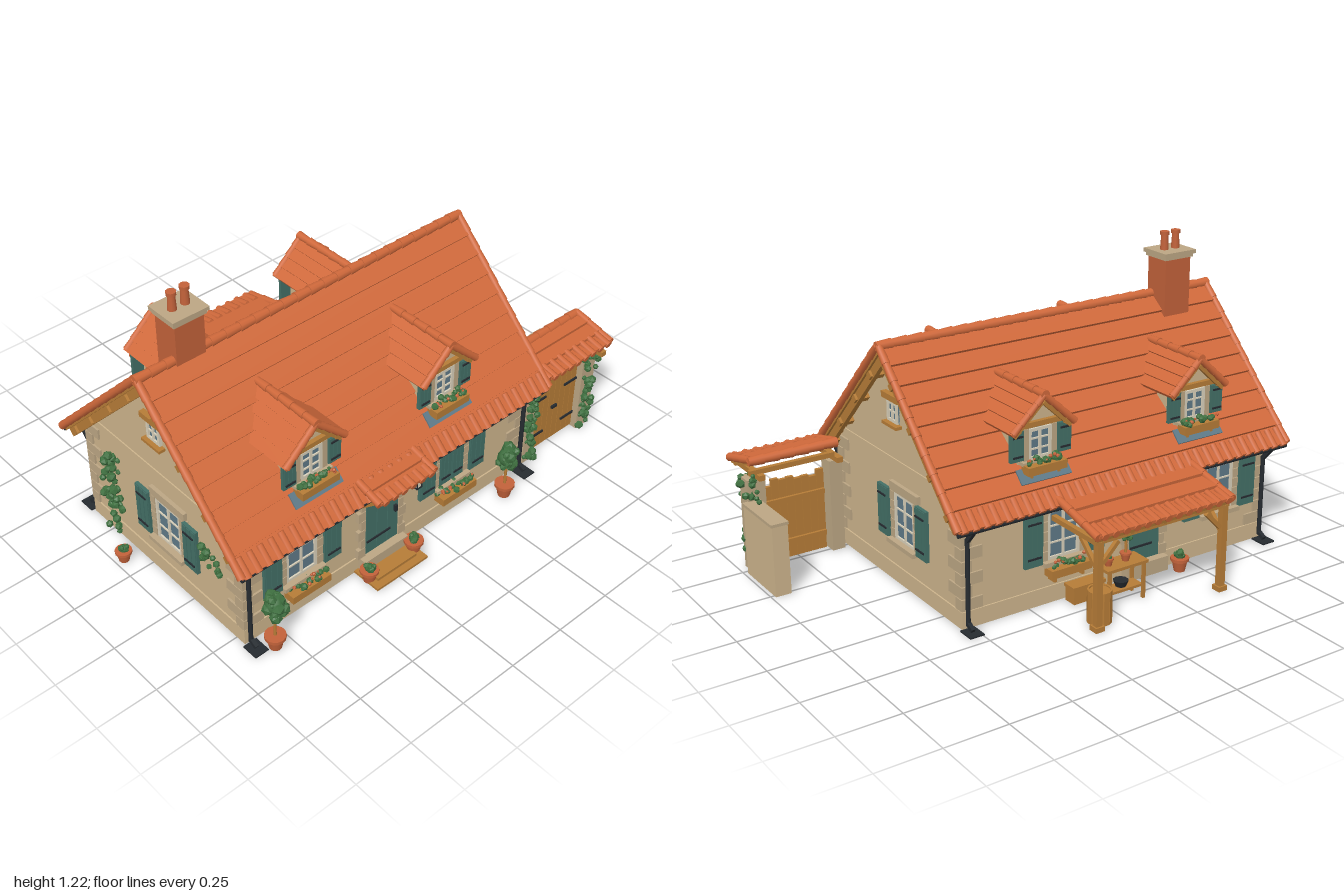
import * as THREE from 'three';
import { mergeGeometries } from 'three/addons/utils/BufferGeometryUtils.js';

const mat = (name, color) => { const m = new THREE.MeshStandardMaterial({ color }); m.name = name; return m; };
const TILE = mat('roof tile', 0xd0693b), CLAY = mat('brick and clay', 0xc2623a), WALL = mat('plaster', 0xcdb48c),
  STONE = mat('stone', 0xbca684), WOOD = mat('timber', 0xb67c37), TEAL = mat('teal paint', 0x436f66),
  IRON = mat('iron', 0x262b30), LEAF = mat('leaf', 0x3f7040), GLASS = mat('glass', 0x5f7a88), TRIM = mat('window trim', 0xd9d0ba);

let seed = 7;
const rnd = () => (seed = (seed * 16807) % 2147483647) / 2147483647;

// Geometry helpers: every shape is placed and un-indexed so a part can be merged.
function put(g, x, y, z, rx = 0, ry = 0, rz = 0) {
  if (g.index) g = g.toNonIndexed();
  return g.applyMatrix4(new THREE.Matrix4().compose(new THREE.Vector3(x, y, z),
    new THREE.Quaternion().setFromEuler(new THREE.Euler(rx, ry, rz)), new THREE.Vector3(1, 1, 1)));
}
const box = (w, h, d, x, y, z, rx, ry, rz) => put(new THREE.BoxGeometry(w, h, d), x, y, z, rx, ry, rz);
const cyl = (r1, r2, h, x, y, z, rx, ry, rz, n = 10) => put(new THREE.CylinderGeometry(r1, r2, h, n), x, y, z, rx, ry, rz);
const prism = (pts, depth) => new THREE.ExtrudeGeometry(new THREE.Shape(pts.map(p => new THREE.Vector2(...p))), { depth, bevelEnabled: false });
// Square bar between two points in the y-z plane.
const strut = (w, x, y1, z1, y2, z2) => box(w, w, Math.hypot(y2 - y1, z2 - z1), x, (y1 + y2) / 2, (z1 + z2) / 2, -Math.atan2(y2 - y1, z2 - z1));
function part(parent, name, material, ...geos) {
  const m = new THREE.Mesh(mergeGeometries(geos.flat()), material);
  m.name = name; parent.add(m); return m;
}
function group(parent, name, x = 0, y = 0, z = 0, ry = 0, rx = 0) {
  const g = new THREE.Group(); g.name = name; g.position.set(x, y, z);
  g.rotation.set(rx, ry, 0, 'YXZ'); parent.add(g); return g;
}
function leaves(n, size, x, y, z, rx, ry, rz) {
  return Array.from({ length: n }, () => put(new THREE.IcosahedronGeometry(size * (0.7 + 0.6 * rnd()), 0),
    x + (rnd() * 2 - 1) * rx, y + (rnd() * 2 - 1) * ry, z + (rnd() * 2 - 1) * rz, rnd() * 3, rnd() * 3));
}

// Tiled roof slope: overlapping courses, round eave tiles and verge tiles.
function slope(parent, name, x, y, z, ry, len, run, drop, n) {
  const L = Math.hypot(run, drop), g = group(parent, name, x, y, z, ry, Math.atan2(drop, run)), c = L / n, tiles = [];
  for (let i = 0; i < n; i++) tiles.push(box(len, 0.012, c + 0.012, 0, 0.004, (i + 0.5) * c, -0.012 / c));
  const teeth = Math.round(len / 0.046), lip = Math.min(0.08, L * 0.4), m = Math.round(L / 0.075);
  for (let i = 0; i < teeth; i++) tiles.push(cyl(0.015, 0.013, lip, (i + 0.5) * len / teeth - len / 2, 0.008, L - lip / 2 + 0.01, Math.PI / 2, 0, 0, 8));
  for (const s of [-1, 1]) for (let i = 0; i < m; i++)
    tiles.push(cyl(0.017, 0.014, L / m, s * len / 2, 0.006, (i + 0.5) * L / m, Math.PI / 2));
  part(g, name + 'Tiles', TILE, tiles);
  part(g, name + 'Deck', WOOD, box(len, 0.012, L - 0.01, 0, -0.012, L / 2));
  return g;
}
function ridge(parent, name, len, x, y, z, alongZ) {
  const n = Math.round(len / 0.065);
  part(parent, name, TILE, Array.from({ length: n }, (_, i) => {
    const t = (i + 0.5) * len / n - len / 2;
    return alongZ ? cyl(0.018, 0.014, len / n, x, y, z + t, Math.PI / 2) : cyl(0.021, 0.017, len / n, x + t, y, z, 0, 0, Math.PI / 2);
  }));
}

function shutter(parent, x, y, w, h, z = 0.012) {
  part(parent, 'shutter', TEAL, box(w, h, 0.014, x, y, z), [-1, 0, 1].map(i => box(w * 0.26, h * 0.96, 0.006, x + i * w * 0.32, y, z + 0.007)));
  part(parent, 'shutterHinges', IRON, [-1, 1].map(s => box(w * 0.75, 0.007, 0.006, x, y + s * h * 0.33, z + 0.011)));
}
function flowerBox(parent, x, y, w, z) {
  part(parent, 'flowerBox', WOOD, box(w, 0.032, 0.05, x, y, z), [-1, 1].map(s => box(0.012, 0.03, 0.04, x + s * w * 0.35, y - 0.025, z - 0.012)));
  part(parent, 'boxPlants', LEAF, leaves(16, 0.012, x, y + 0.026, z, w * 0.47, 0.01, 0.02));
  part(parent, 'boxFlowers', CLAY, leaves(7, 0.007, x, y + 0.038, z + 0.01, w * 0.45, 0.006, 0.015));
}
// Window in a wall face: x along the wall, z outwards, y is the sill height.
function windowUnit(parent, x, y, w, h, opt = {}) {
  const g = group(parent, 'window', x, y, 0), { sw = 0.08, surround = true, closed, rows = 3 } = opt;
  part(g, 'glass', GLASS, box(w, h, 0.04, 0, h / 2, -0.014));
  part(g, 'windowFrame', TRIM, [-1, 1].map(s => box(0.012, h, 0.014, s * (w / 2 - 0.006), h / 2, 0.006)),
    [0, 1].map(s => box(w, 0.012, 0.0135, 0, 0.006 + s * (h - 0.012), 0.006)), box(0.01, h, 0.012, 0, h / 2, 0.006),
    Array.from({ length: rows - 1 }, (_, i) => box(w, 0.006, 0.011, 0, h * (i + 1) / rows, 0.006)));
  if (surround) {
    const q = [];
    for (const s of [-1, 1]) for (let i = 0; i < 5; i++) {
      const b = i % 2 ? 0.026 : 0.036;
      q.push(box(b, h / 5 - 0.003, 0.022, s * (w / 2 + b / 2), (i + 0.5) * h / 5, 0.005));
    }
    part(g, 'stoneSurround', STONE, q, box(w + 0.06, 0.035, 0.024, 0, h + 0.018, 0.004), box(w + 0.05, 0.018, 0.05, 0, -0.008, 0.012));
  }
  if (closed) [-1, 1].forEach(s => shutter(g, s * w / 4, h / 2, w / 2 - 0.003, h, 0.01));
  if (sw) [-1, 1].forEach(s => shutter(g, s * (w / 2 + 0.028 + sw / 2), h / 2, sw, h + 0.01, 0.018));
  return g;
}
function door(parent, x, w, h) {
  const g = group(parent, 'door', x, 0.065, 0), q = [];
  part(g, 'doorLeaf', TEAL, box(w, h, 0.045, 0, h / 2, -0.012), [-1, 0, 1].map(i => box(w * 0.29, h * 0.95, 0.005, i * w * 0.32, h / 2, 0.012)));
  part(g, 'doorIron', IRON, [0.2, 0.8].map(t => box(w * 0.7, 0.008, 0.006, -w * 0.1, h * t, 0.016)), box(0.012, 0.03, 0.014, w * 0.38, h * 0.48, 0.018));
  for (const s of [-1, 1]) for (let i = 0; i < 7; i++) {
    const b = i % 2 ? 0.022 : 0.036;
    q.push(box(b, h / 7 - 0.003, 0.024, s * (w / 2 + b / 2), (i + 0.5) * h / 7, 0.005));
  }
  part(g, 'doorSurround', STONE, q, box(w + 0.06, 0.035, 0.026, 0, h + 0.017, 0.005), box(w + 0.05, 0.06, 0.05, 0, -0.03, 0.02));
}
function pot(parent, x, y, z, s = 1, tree = 0) {
  const g = group(parent, 'pottedPlant', x, y, z);
  part(g, 'pot', CLAY, cyl(0.032 * s, 0.022 * s, 0.048 * s, 0, 0.024 * s, 0, 0, 0, 0, 14), cyl(0.037 * s, 0.037 * s, 0.012 * s, 0, 0.05 * s, 0, 0, 0, 0, 14));
  if (tree) part(g, 'trunk', WOOD, cyl(0.005, 0.006, tree, 0, tree / 2 + 0.02, 0));
  const r = tree ? 0.034 * s : 0.018 * s, y0 = tree || 0.064 * s;
  part(g, 'foliage', LEAF, leaves(tree ? 22 : 10, tree ? 0.02 * s : 0.013 * s, 0, y0, 0, r * 0.75, r, r * 0.75), put(new THREE.IcosahedronGeometry(r, 1), 0, y0, 0));
}
function lantern(parent, x, y, z) {
  part(parent, 'lantern', IRON, cyl(0.006, 0.024, 0.02, x, y + 0.035, z, 0, 0.8, 0, 4), cyl(0.02, 0.015, 0.008, x, y - 0.03, z, 0, 0.8, 0, 4),
    [-1, 1].flatMap(a => [-1, 1].map(b => box(0.004, 0.06, 0.004, x + a * 0.012, y, z + b * 0.012))), box(0.006, 0.006, 0.06, x, y + 0.05, z - 0.02));
  part(parent, 'lanternGlass', TRIM, box(0.02, 0.05, 0.02, x, y, z));
}

// Dormer: local z points out of the slope, measured from the main ridge.
function dormer(parent, x, ry) {
  const g = group(parent, 'dormer', x, 0, 0.083, ry), a = Math.atan2(0.125, 0.135), S = 0.184;
  part(g, 'dormerWalls', WALL, put(prism([[0.41, 0.51], [0.41, 0.715], [0.22, 0.715]], 0.18), 0.09, 0, 0, 0, -Math.PI / 2),
    put(prism([[-0.115, 0.7], [0.115, 0.7], [0, 0.805]], 0.21), 0, 0, 0.2));
  const tiles = [], boards = [];
  for (const s of [-1, 1]) {
    for (let i = 0; i < 4; i++) {
      const v = (i + 0.5) * S / 4, back = 0.13 + v * 0.65;
      tiles.push(box(S / 4 + 0.01, 0.014, 0.455 - back, s * v * Math.cos(a), 0.822 - v * Math.sin(a), (0.455 + back) / 2, 0, 0, -s * (a - 0.14)));
      tiles.push(cyl(0.012, 0.015, S / 4, s * v * Math.cos(a), 0.824 - v * Math.sin(a), 0.448, 0, 0, s * (Math.PI / 2 - a)));
    }
    boards.push(box(S - 0.02, 0.022, 0.018, s * 0.066, 0.74, 0.434, 0, 0, -s * a), box(0.018, 0.018, 0.05, s * 0.105, 0.703, 0.42));
  }
  part(g, 'dormerTiles', TILE, tiles);
  part(g, 'dormerTimber', WOOD, boards, box(0.2, 0.02, 0.025, 0, 0.71, 0.415));
  ridge(g, 'dormerRidge', 0.32, 0, 0.826, 0.298, true);
  part(g, 'leadApron', GLASS, box(0.22, 0.006, 0.06, 0, 0.528, 0.448, 0.8));
  const f = group(g, 'dormerFront', 0, 0, 0.412);
  const w = windowUnit(f, 0, 0.575, 0.1, 0.12, { sw: 0, surround: false });
  part(w, 'dormerSurround', STONE, [-1, 1].map(s => box(0.022, 0.125, 0.02, s * 0.062, 0.06, 0.004)), box(0.17, 0.014, 0.04, 0, -0.006, 0.01));
  [-1, 1].forEach(s => shutter(f, s * 0.104, 0.64, 0.058, 0.115, 0.012));
  flowerBox(f, 0, 0.552, 0.17, 0.04);
}

export function createModel() {
  const root = new THREE.Group(); root.name = 'cottage';
  const CX = -0.175, CZ = 0.083, HW = 0.71, HD = 0.457;

  // Shell: open underneath, with plinth, gable bands and corner stones
  const shell = group(root, 'shell');
  const gable = [[-HD, 0], [HD, 0], [HD, 0.45], [0, 0.925], [-HD, 0.45]];
  part(shell, 'walls', WALL, [-1, 1].map(s => box(HW * 2, 0.45, 0.03, CX, 0.225, CZ + s * (HD - 0.015))),
    [0.535, -0.855].map(x => put(prism(gable, 0.03), x - 0.03, 0, CZ, 0, Math.PI / 2)),
    [-1, 1].map(s => box(HW * 2 + 0.012, 0.068, 0.012, CX, 0.034, CZ + s * HD)),
    [-1, 1].flatMap(s => [box(0.012, 0.068, HD * 2, CX + s * HW, 0.034, CZ), box(0.01, 0.034, 0.82, CX + s * HW, 0.493, CZ)]));
  const quoins = [];
  for (const sx of [-1, 1]) for (const sz of [-1, 1]) for (let i = 0; i < 8; i++) {
    const a = i % 2 ? 0.045 : 0.09, b = i % 2 ? 0.09 : 0.045;
    quoins.push(box(a, 0.046, b, CX + sx * (HW + 0.008 - a / 2), 0.095 + i * 0.05, CZ + sz * (HD + 0.008 - b / 2)));
  }
  part(shell, 'cornerStones', STONE, quoins);

  // Main roof
  for (const s of [0, 1]) {
    const r = slope(root, s ? 'backRoof' : 'frontRoof', CX, 0.96, CZ, s * Math.PI, 1.54, 0.53, 0.54, 9);
    part(r, 'bargeBoards', WOOD, [-1, 1].map(k => box(0.02, 0.036, 0.73, k * 0.75, -0.034, 0.375)));
    part(r, 'purlinEnds', WOOD, [-1, 1].flatMap(k => [0.15, 0.33, 0.52, 0.68].map(z => box(0.07, 0.026, 0.026, k * 0.735, -0.035, z))));
    [[-0.536, 0.115], [-0.55, 0.175]][s].forEach(x => dormer(root, x, s * Math.PI));
  }
  ridge(root, 'mainRidge', 1.56, CX, 0.963, CZ);

  // Chimney
  const ch = group(root, 'chimney', -0.725, 0, 0.05);
  part(ch, 'chimneyStack', CLAY, box(0.125, 0.27, 0.11, 0, 0.99, 0));
  part(ch, 'chimneyCap', STONE, box(0.14, 0.014, 0.125, 0, 1.122, 0), box(0.155, 0.016, 0.14, 0, 1.137, 0));
  part(ch, 'chimneyPots', CLAY, [-0.028, 0.028].flatMap(x => [cyl(0.014, 0.018, 0.07, x, 1.175, 0), cyl(0.019, 0.019, 0.014, x, 1.212, 0)]));

  // Gutters and downpipes
  part(root, 'gutters', IRON, [0.612, -0.446].map(z => cyl(0.01, 0.01, 1.54, CX, 0.412, z, 0, 0, Math.PI / 2)),
    [-0.875, 0.525].flatMap(x => [-1, 1].flatMap(s => [cyl(0.009, 0.009, 0.34, x, 0.19, CZ + s * 0.478),
      strut(0.016, x, 0.355, CZ + s * 0.478, 0.41, CZ + s * 0.525), strut(0.016, x, 0.03, CZ + s * 0.478, 0.012, CZ + s * 0.51),
      box(0.06, 0.006, 0.07, x, 0.003, CZ + s * 0.505)])));

  // Wall faces with windows and doors
  const front = group(root, 'frontFace', 0, 0, 0.54), back = group(root, 'backFace', 0, 0, -0.374, Math.PI);
  windowUnit(front, -0.625, 0.18, 0.145, 0.205); flowerBox(front, -0.625, 0.145, 0.18, 0.045);
  windowUnit(front, 0.13, 0.18, 0.13, 0.205, { closed: true }); flowerBox(front, 0.13, 0.145, 0.18, 0.045);
  door(front, -0.232, 0.17, 0.325);
  part(front, 'doorSteps', WOOD, box(0.2, 0.022, 0.09, -0.232, 0.011, 0.06), box(0.26, 0.01, 0.13, -0.232, 0.005, 0.07));
  lantern(front, -0.095, 0.335, 0.055);
  windowUnit(back, 0.65, 0.18, 0.145, 0.2); windowUnit(back, -0.1, 0.18, 0.145, 0.2);
  flowerBox(back, -0.1, 0.145, 0.18, 0.045);
  door(back, 0.28, 0.15, 0.31); lantern(back, 0.14, 0.335, 0.045);
  [[0.535, 1, 0.07], [-0.885, -1, 0.05]].forEach(([x, s, wx]) => {
    const f = group(root, 'gableFace', x, 0, CZ, s * Math.PI / 2);
    windowUnit(f, wx, 0.19, 0.145, 0.193, { sw: 0.078 });
    windowUnit(f, 0, 0.66, 0.075, 0.082, { sw: 0, surround: false, rows: 2 });
    part(f, 'atticTimber', WOOD, box(0.118, 0.024, 0.03, 0, 0.758, 0.008), box(0.105, 0.012, 0.035, 0, 0.65, 0.01));
  });

  // Door canopy
  slope(root, 'doorCanopy', -0.232, 0.474, 0.555, 0, 0.27, 0.125, 0.035, 2);
  part(root, 'canopyBrackets', WOOD, [-0.345, -0.12].flatMap(x => [strut(0.016, x, 0.42, 0.54, 0.42, 0.66), strut(0.014, x, 0.33, 0.55, 0.415, 0.64)]), box(0.25, 0.016, 0.016, -0.232, 0.428, 0.655));

  // Gate with piers, low wall and small roof
  const gate = group(root, 'gateway');
  part(gate, 'gatePiers', STONE, box(0.055, 0.385, 0.07, 0.588, 0.192, 0.515), box(0.075, 0.385, 0.07, 0.928, 0.192, 0.515));
  part(gate, 'lowWall', WALL, box(0.065, 0.285, 0.25, 0.952, 0.142, 0.36));
  part(gate, 'lowWallCoping', STONE, box(0.072, 0.012, 0.255, 0.952, 0.291, 0.36));
  part(gate, 'gatePlanks', WOOD, Array.from({ length: 8 }, (_, i) => { const h = 0.315 + 0.03 * rnd(); return box(0.03, h, 0.016, 0.645 + i * 0.0325, 0.01 + h / 2, 0.515); }),
    [0.08, 0.26].map(y => box(0.25, 0.022, 0.014, 0.758, y, 0.502)));
  part(gate, 'gateHinges', IRON, [0.08, 0.26].flatMap(y => [0.665, 0.85].map(x => box(0.075, 0.009, 0.006, x, y, 0.526))), box(0.03, 0.012, 0.01, 0.758, 0.18, 0.527));
  slope(gate, 'gateRoof', 0.795, 0.487, 0.42, 0, 0.36, 0.185, 0.048, 3);
  ridge(gate, 'gateRidge', 0.37, 0.797, 0.487, 0.42);
  part(gate, 'gateBeams', WOOD, [0.6, 0.93].map(x => box(0.025, 0.022, 0.2, x, 0.41, 0.515)), [0.45, 0.58].map(z => box(0.36, 0.02, 0.02, 0.79, 0.428, z)));

  // Back porch
  const porch = group(root, 'porch');
  slope(porch, 'porchRoof', -0.15, 0.437, -0.43, Math.PI, 0.62, 0.25, 0.062, 3);
  part(porch, 'porchFrame', WOOD, [-0.44, 0.14].flatMap(x => [box(0.026, 0.36, 0.026, x, 0.18, -0.655), strut(0.02, x, 0.345, -0.375, 0.345, -0.67),
    strut(0.016, x, 0.24, -0.65, 0.335, -0.55), box(0.04, 0.02, 0.04, x, 0.01, -0.655),
    box(0.1, 0.016, 0.016, x - Math.sign(x) * 0.05, 0.3, -0.655, 0, 0, Math.sign(x) * -0.8)]), box(0.62, 0.026, 0.022, -0.15, 0.358, -0.655),
    [-0.3, -0.15, 0].map(x => strut(0.016, x, 0.41, -0.39, 0.36, -0.67)));
  part(porch, 'table', WOOD, box(0.19, 0.012, 0.09, -0.08, 0.15, -0.505), box(0.16, 0.01, 0.06, -0.08, 0.05, -0.505),
    [-1, 1].flatMap(a => [-1, 1].map(b => box(0.012, 0.145, 0.012, -0.08 + a * 0.08, 0.072, -0.505 + b * 0.035))));
  const staves = Array.from({ length: 12 }, (_, i) => { const a = i * Math.PI / 6; return box(0.022, 0.13, 0.008, 0.09 + Math.sin(a) * 0.042, 0.065, -0.6 + Math.cos(a) * 0.042, 0, a); });
  part(porch, 'barrel', WOOD, staves, cyl(0.042, 0.042, 0.12, 0.09, 0.065, -0.6, 0, 0, 0, 12));
  part(porch, 'crate', WOOD, box(0.14, 0.07, 0.055, 0.03, 0.04, -0.43), box(0.15, 0.012, 0.062, 0.03, 0.07, -0.43));
  part(porch, 'bowl', IRON, cyl(0.03, 0.02, 0.025, -0.08, 0.068, -0.505));
  pot(porch, -0.1, 0.156, -0.505, 0.6, 0.11); pot(porch, -0.02, 0.156, -0.505, 0.55); pot(porch, -0.42, 0, -0.44);

  // Potted plants and climbers
  pot(root, -0.815, 0, 0.625, 1.1, 0.215); pot(root, 0.372, 0, 0.625, 1.1, 0.195);
  pot(root, -0.345, 0, 0.61); pot(root, -0.115, 0, 0.61, 1.05); pot(root, -0.965, 0, -0.085, 0.9);
  part(root, 'climbers', LEAF, leaves(34, 0.015, 0.585, 0.18, 0.558, 0.03, 0.17, 0.012), leaves(40, 0.015, 0.93, 0.2, 0.558, 0.035, 0.19, 0.012),
    leaves(12, 0.014, 0.96, 0.37, 0.45, 0.02, 0.06, 0.06), leaves(44, 0.016, -0.9, 0.22, -0.23, 0.018, 0.2, 0.05), leaves(12, 0.015, -0.91, 0.32, 0.4, 0.015, 0.09, 0.06));
  return root;
}
